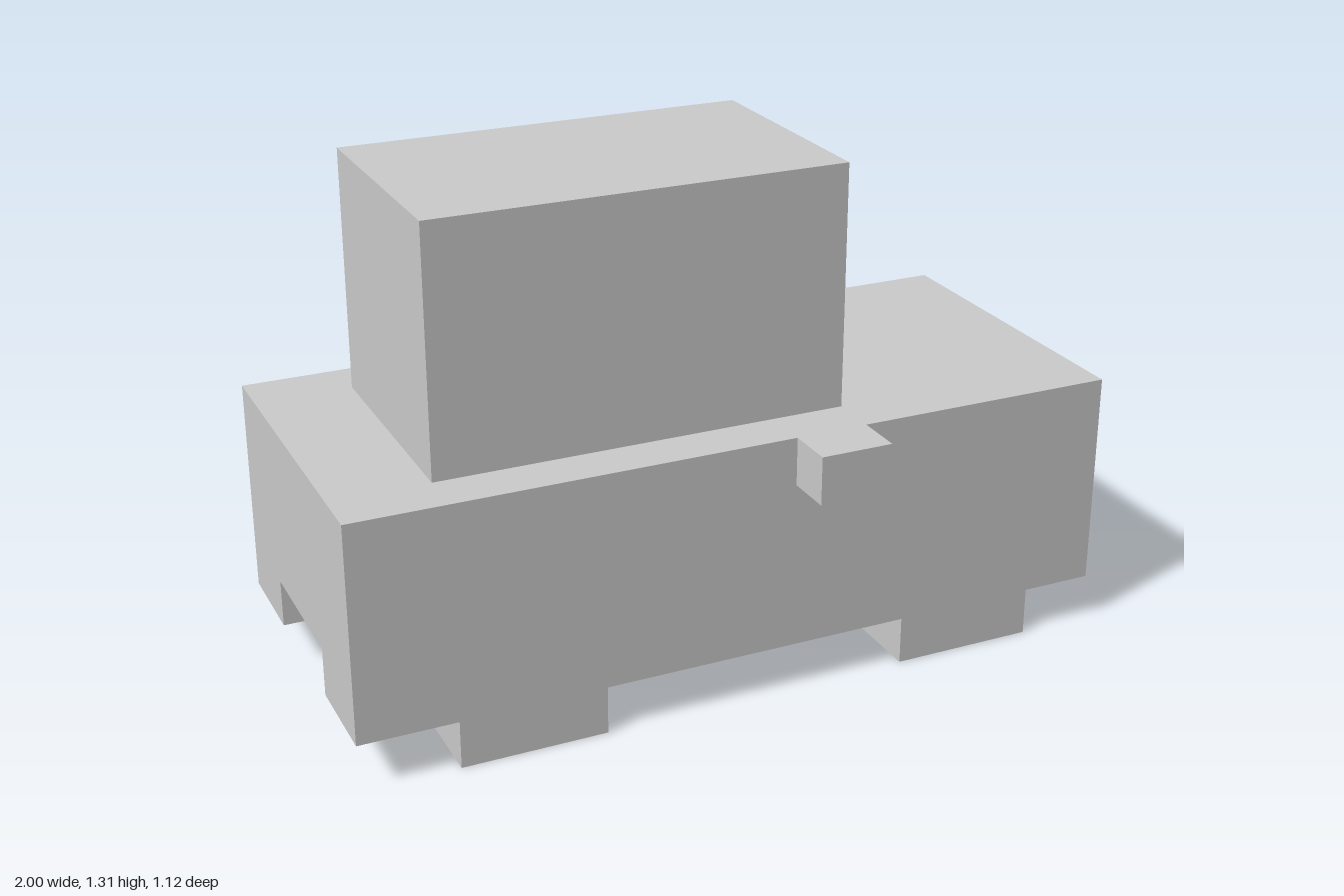
import * as THREE from 'three';

const material = new THREE.MeshStandardMaterial({ color: 0xcccccc, flatShading: true });

// Box given by its limits on each axis
function block(name, [x0, x1], [y0, y1], [z0, z1]) {
  const mesh = new THREE.Mesh(new THREE.BoxGeometry(x1 - x0, y1 - y0, z1 - z0), material);
  mesh.position.set((x0 + x1) / 2, (y0 + y1) / 2, (z0 + z1) / 2);
  mesh.name = name;
  return mesh;
}

export function createModel() {
  const model = new THREE.Group();
  model.name = 'blockVehicle';

  // Body: end profile with an open channel underneath, extruded along x
  const half = 0.4375, channel = 0.1875, bottom = 0.125, ceiling = 0.25, deck = 0.6875;
  const profile = new THREE.Shape([
    [-half, bottom], [-channel, bottom], [-channel, ceiling], [channel, ceiling],
    [channel, bottom], [half, bottom], [half, deck], [-half, deck],
  ].map(([z, y]) => new THREE.Vector2(z, y)));
  const bodyGeometry = new THREE.ExtrudeGeometry(profile, { depth: 2, bevelEnabled: false });
  bodyGeometry.translate(0, 0, -1).rotateY(Math.PI / 2);
  const body = new THREE.Mesh(bodyGeometry, material);
  body.name = 'body';
  model.add(body);

  // Cab on the deck
  model.add(block('cab', [-0.75, 0.3125], [deck, 1.3125], [-0.3125, 0.3125]));

  // Mirrors and wheels on both sides
  for (const [side, s] of [['left', 1], ['right', -1]]) {
    const span = (a, b) => (s > 0 ? [a, b] : [-b, -a]);
    model.add(block(side + 'Mirror', [0.125, 0.3125], [0.5625, deck], span(half, 0.5625)));
    model.add(block(side + 'FrontWheel', [0.4375, 0.8125], [0, bottom], span(channel, half)));
    model.add(block(side + 'RearWheel', [-0.75, -0.375], [0, bottom], span(channel, half)));
  }

  // Undercarriage inside the channel: axles, drive shaft and end bars
  const across = [-channel, channel];
  model.add(block('frontAxle', [0.5625, 0.6875], [bottom, ceiling], across));
  model.add(block('rearAxle', [-0.625, -0.5], [bottom, ceiling], across));
  model.add(block('driveShaft', [-0.5, 0.5625], [bottom, ceiling], [-0.0625, 0.0625]));
  model.add(block('frontBar', [0.875, 0.9375], [0.1875, ceiling], across));
  model.add(block('rearBar', [-0.9375, -0.875], [0.1875, ceiling], across));

  return model;
}
